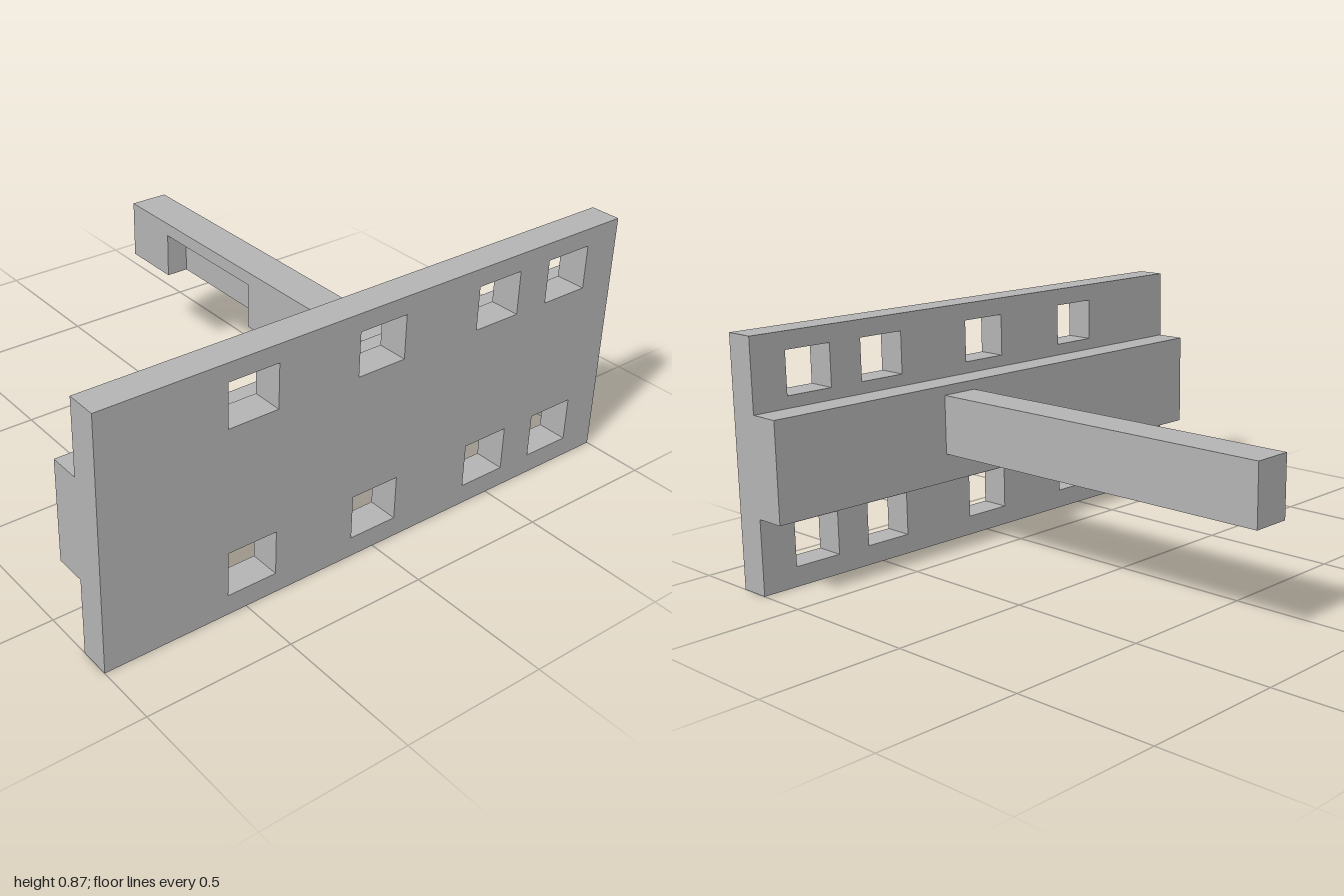
import * as THREE from 'three';

const grey = new THREE.MeshStandardMaterial({ color: 0xb3b3b3 });
grey.name = 'plain grey';

// Box given by its minimum and maximum corners
function box(name, [x0, y0, z0], [x1, y1, z1]) {
  const mesh = new THREE.Mesh(new THREE.BoxGeometry(x1 - x0, y1 - y0, z1 - z0), grey);
  mesh.name = name;
  mesh.position.set((x0 + x1) / 2, (y0 + y1) / 2, (z0 + z1) / 2);
  return mesh;
}

// Closed rectangle path
function rect(path, x0, y0, x1, y1) {
  path.moveTo(x0, y0).lineTo(x1, y0).lineTo(x1, y1).lineTo(x0, y1).closePath();
  return path;
}

// Upright plate with two rows of square holes; shape x runs along -z
function makePlate() {
  const shape = rect(new THREE.Shape(), -1, 0, 1, 0.865);
  const columns = [[-0.567, -0.39], [-0.092, 0.086], [0.386, 0.562], [0.69, 0.867]];
  const rows = [[0.07, 0.224], [0.652, 0.803]];
  for (const [a, b] of columns)
    for (const [c, d] of rows) shape.holes.push(rect(new THREE.Path(), a, c, b, d));
  const geometry = new THREE.ExtrudeGeometry(shape, { depth: 0.107, bevelEnabled: false });
  geometry.rotateY(Math.PI / 2);
  const mesh = new THREE.Mesh(geometry, grey);
  mesh.name = 'plate';
  mesh.position.x = 0.679;
  return mesh;
}

// Arm: solid back layer, and a front layer notched from below
function makeArm() {
  const arm = new THREE.Group();
  arm.name = 'arm';
  const back = -0.288, mid = -0.23, front = -0.148;
  const notched = new THREE.Shape();
  [[-0.786, 0.365], [-0.56, 0.365], [-0.56, 0.528], [-0.067, 0.528], [-0.067, 0.365],
    [0.571, 0.365], [0.571, 0.576], [-0.786, 0.576]]
    .forEach(([x, y], i) => (i ? notched.lineTo(x, y) : notched.moveTo(x, y)));
  const layer = new THREE.Mesh(
    new THREE.ExtrudeGeometry(notched, { depth: front - mid, bevelEnabled: false }), grey);
  layer.name = 'armNotchedSide';
  layer.position.z = mid;
  arm.add(layer, box('armBackSide', [-0.786, 0.365, back], [0.571, 0.576, mid]));
  return arm;
}

export function createModel() {
  const model = new THREE.Group();
  model.name = 'wallBracket';
  model.add(makePlate(), box('rail', [0.571, 0.264, -1], [0.679, 0.61, 1]), makeArm());
  return model;
}
